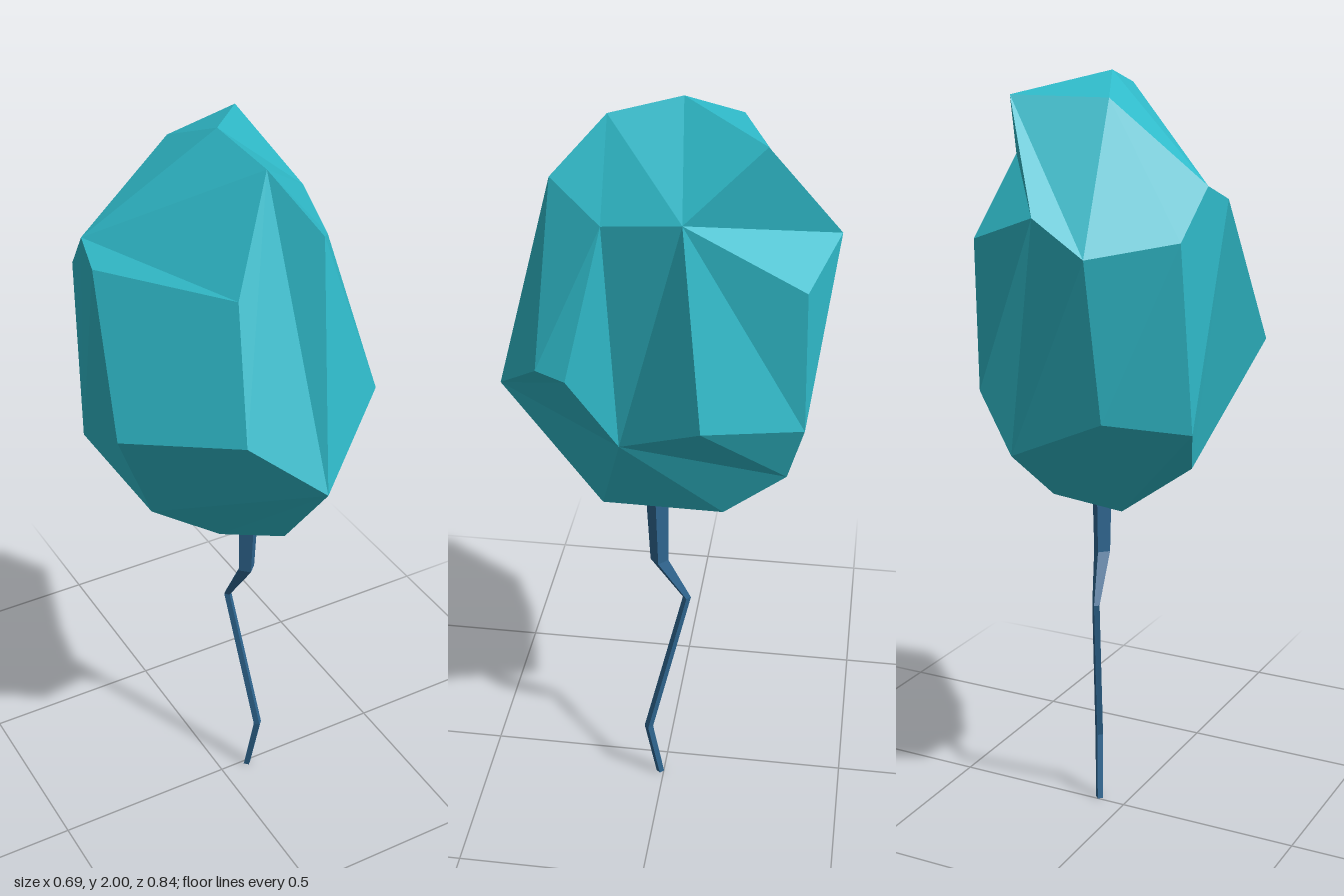
import * as THREE from 'three';

// Skins a stack of rings (bottom to top); repeated corners merge facets into triangles.
function skin(rings) {
  const pos = [];
  const tri = (a, b, c) => {
    const area = b.clone().sub(a).cross(c.clone().sub(a)).length();
    if (area > 1e-7) pos.push(...a.toArray(), ...b.toArray(), ...c.toArray());
  };
  for (let r = 0; r < rings.length - 1; r++) {
    const low = rings[r], high = rings[r + 1], n = low.length;
    for (let i = 0; i < n; i++) {
      const j = (i + 1) % n;
      tri(low[i], low[j], high[j]);
      tri(low[i], high[j], high[i]);
    }
  }
  const geo = new THREE.BufferGeometry();
  geo.setAttribute('position', new THREE.Float32BufferAttribute(pos, 3));
  geo.computeVertexNormals();
  return geo;
}

function part(name, geo, color) {
  const mesh = new THREE.Mesh(geo, new THREE.MeshStandardMaterial({ color, flatShading: true }));
  mesh.name = name;
  return mesh;
}

// Corners of the faceted crown
const corner = {
  // top
  A: [0.01, 2.0, -0.04], B: [0.175, 1.95, -0.25], U: [-0.05, 1.945, -0.175], F: [0.04, 1.96, 0.135],
  // shoulder
  H: [0.12, 1.83, 0.26], O: [0.215, 1.755, 0.125], C: [0.265, 1.79, -0.07], R: [0.22, 1.62, -0.355],
  Q: [0.025, 1.69, -0.42], T: [-0.1, 1.6, -0.405], V: [-0.275, 1.63, -0.255], I: [-0.295, 1.75, -0.148],
  J: [-0.31, 1.71, -0.06], G: [-0.09, 1.71, 0.24],
  // waist
  E: [0.055, 1.24, 0.42], M: [0.27, 1.4, 0.28], N: [0.29, 1.385, 0.205], P: [0.22, 1.175, 0.09],
  D: [0.345, 1.3, -0.125], S: [0.21, 1.25, -0.362], K: [-0.345, 1.34, 0.115], L: [-0.135, 1.4, 0.365],
  // underside
  W: [0.15, 1.08, -0.32], X: [-0.1, 1.19, -0.32], Y: [-0.29, 1.16, -0.21], y: [-0.2, 1.01, -0.01],
  z: [0.1, 0.93, 0.155], w: [0.12, 0.94, -0.16], Z: [0, 0.865, -0.01],
};

// Rings run from the front round by +x; each letter is a corner
const crownRings = [
  'ZZZZZZZZZZZZZZZZZ', // lowest point
  'zzzzwwwwwwwZZZZZZ', // base
  'EEEPPPPWWWWXYYyyE', // belly
  'EEMNPPDDSSWXYYyKL', // waist
  'FHHOOCCCCRQTVIJJG', // shoulder
  'FFFFFFAABQQTVIIII', // roof edge
  'AAAAAAAABBBBUUAAA', // roof
  'AAAAAAAAAAAAAAAAA', // peak
];

export function createModel() {
  const group = new THREE.Group();

  const rings = crownRings.map((s) => [...s].map((k) => new THREE.Vector3(...corner[k])));
  group.add(part('crown', skin(rings), 0x2fb9c8));

  // Crooked four-sided trunk: x, y, z, half width
  const path = [
    [0.08, 0, 0.01, 0.001], [0.08, 0, 0.01, 0.011], [0.096, 0.18, 0.04, 0.012], [0.052, 0.61, -0.06, 0.011],
    [0.07, 0.74, 0.012, 0.024], [0.073, 0.97, 0.018, 0.03],
  ];
  const trunk = path.map(([x, y, z, r]) => [0, 1, 2, 3].map((i) => {
    const a = i * Math.PI / 2;
    return new THREE.Vector3(x + r * Math.sin(a), y, z + r * Math.cos(a));
  }));
  group.add(part('trunk', skin(trunk), 0x2f6690));

  return group;
}
